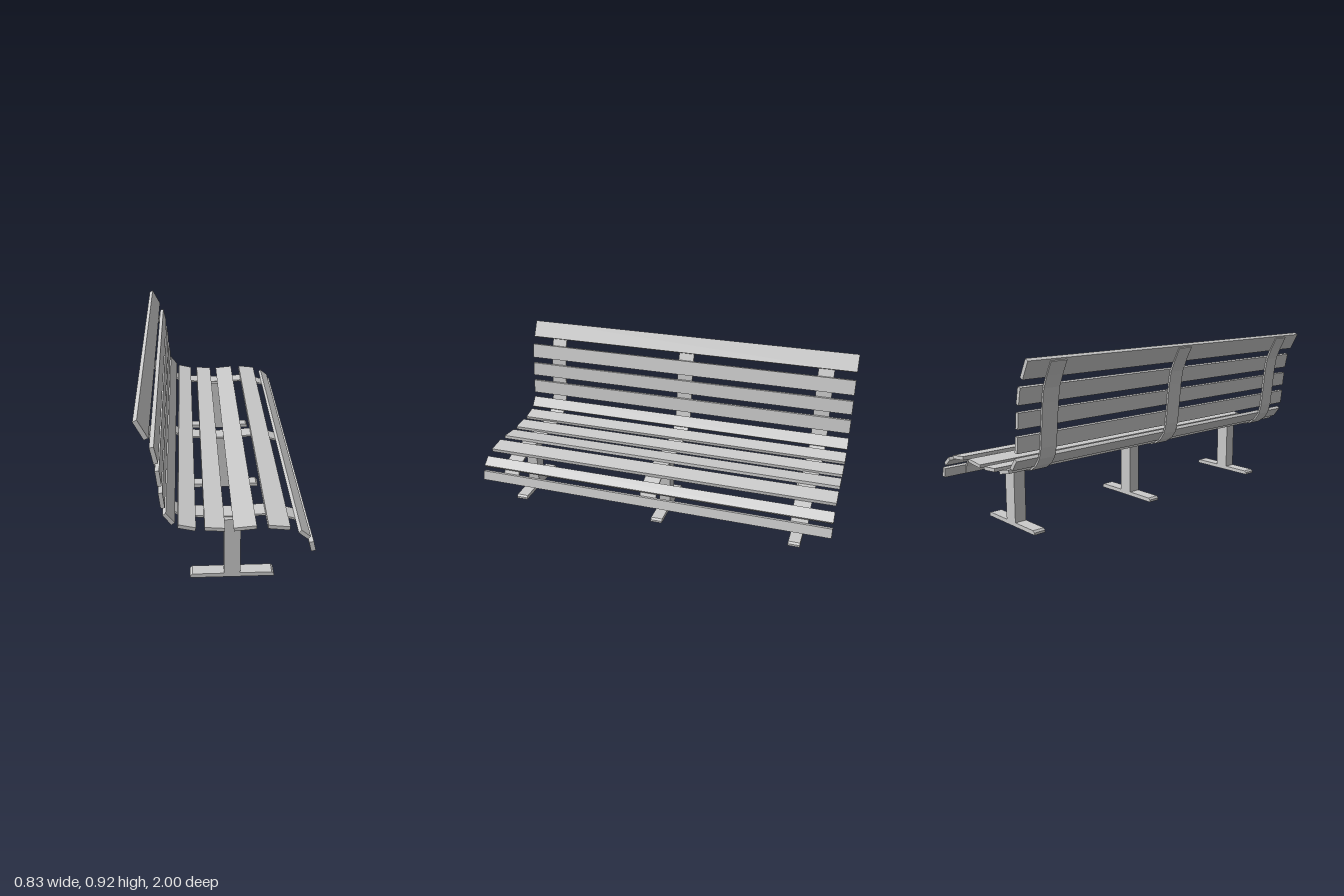
import * as THREE from 'three';

const material = new THREE.MeshStandardMaterial({ color: 0xcccccc, flatShading: true });

// Extrudes a closed side outline along z, centred on zCentre
function extrudeProfile(name, points, width, zCentre) {
  const shape = new THREE.Shape(points.map(([x, y]) => new THREE.Vector2(x, y)));
  const geometry = new THREE.ExtrudeGeometry(shape, { depth: width, bevelEnabled: false });
  geometry.translate(0, 0, zCentre - width / 2);
  const mesh = new THREE.Mesh(geometry, material);
  mesh.name = name;
  return mesh;
}

// Thickens an open polyline to its left, with mitred joints
function thicken(path, thickness) {
  const pts = path.map(([x, y]) => new THREE.Vector2(x, y));
  const normal = (a, b) => new THREE.Vector2(a.y - b.y, b.x - a.x).normalize();
  const offset = pts.map((p, i) => {
    const n0 = normal(pts[Math.max(i - 1, 0)], pts[Math.max(i, 1)]);
    const last = pts.length - 1;
    const n1 = normal(pts[Math.min(i, last - 1)], pts[Math.min(i + 1, last)]);
    const m = n0.clone().add(n1).normalize();
    return [p.x + m.x * thickness / m.dot(n1), p.y + m.y * thickness / m.dot(n1)];
  });
  return [...path, ...offset.reverse()];
}

// Slat centre lines in side section: x1, y1, x2, y2, thickness
const slats = [
  [-0.409, 0.917, -0.363, 0.828, 0.022],
  [-0.342, 0.787, -0.325, 0.704, 0.021],
  [-0.322, 0.668, -0.313, 0.589, 0.02],
  [-0.311, 0.553, -0.302, 0.473, 0.02],
  [-0.297, 0.440, -0.257, 0.387, 0.02],
  [-0.236, 0.372, -0.154, 0.353, 0.019],
  [-0.112, 0.354, -0.017, 0.346, 0.018],
  [0.024, 0.346, 0.132, 0.356, 0.018],
  [0.185, 0.357, 0.288, 0.345, 0.019],
  [0.335, 0.327, 0.381, 0.289, 0.02],
  [0.392, 0.266, 0.404, 0.215, 0.023],
];

// Underside of the bent strap, from the top of the back to the front lip
const strapPath = [
  [-0.419, 0.9], [-0.385, 0.833], [-0.358, 0.77], [-0.346, 0.7], [-0.323, 0.48],
  [-0.308, 0.425], [-0.28, 0.385], [-0.236, 0.355], [-0.165, 0.341], [-0.02, 0.332],
  [0.06, 0.334], [0.18, 0.341], [0.262, 0.331], [0.33, 0.309], [0.36, 0.283],
  [0.379, 0.25], [0.387, 0.214],
];

// Foot bar with chamfered upper ends
const footProfile = [
  [-0.183, 0], [0.233, 0], [0.233, 0.012], [0.222, 0.022], [-0.172, 0.022], [-0.183, 0.012],
];

export function createModel() {
  const bench = new THREE.Group();
  bench.name = 'bench';

  // Long slats of the back, seat and front lip
  slats.forEach(([x1, y1, x2, y2, thickness], i) => {
    const length = Math.hypot(x2 - x1, y2 - y1);
    const slat = new THREE.Mesh(new THREE.BoxGeometry(length, thickness, 2), material);
    slat.position.set((x1 + x2) / 2, (y1 + y2) / 2, 0);
    slat.rotation.z = Math.atan2(y2 - y1, x2 - x1);
    slat.name = i < 5 ? 'backSlat' : i < 9 ? 'seatSlat' : 'frontSlat';
    bench.add(slat);
  });

  // Three supports: bent strap, post and foot
  const strapSection = thicken(strapPath, 0.01);
  for (const [strapZ, postZ] of [[0.832, 0.867], [0.002, 0.005], [-0.828, -0.795]]) {
    const support = new THREE.Group();
    support.name = 'support';
    support.add(extrudeProfile('strap', strapSection, 0.092, strapZ));

    const post = new THREE.Mesh(new THREE.BoxGeometry(0.08, 0.315, 0.067), material);
    post.position.set(0.025, 0.1785, postZ);
    post.name = 'post';
    support.add(post, extrudeProfile('foot', footProfile, 0.067, postZ));
    bench.add(support);
  }
  return bench;
}
